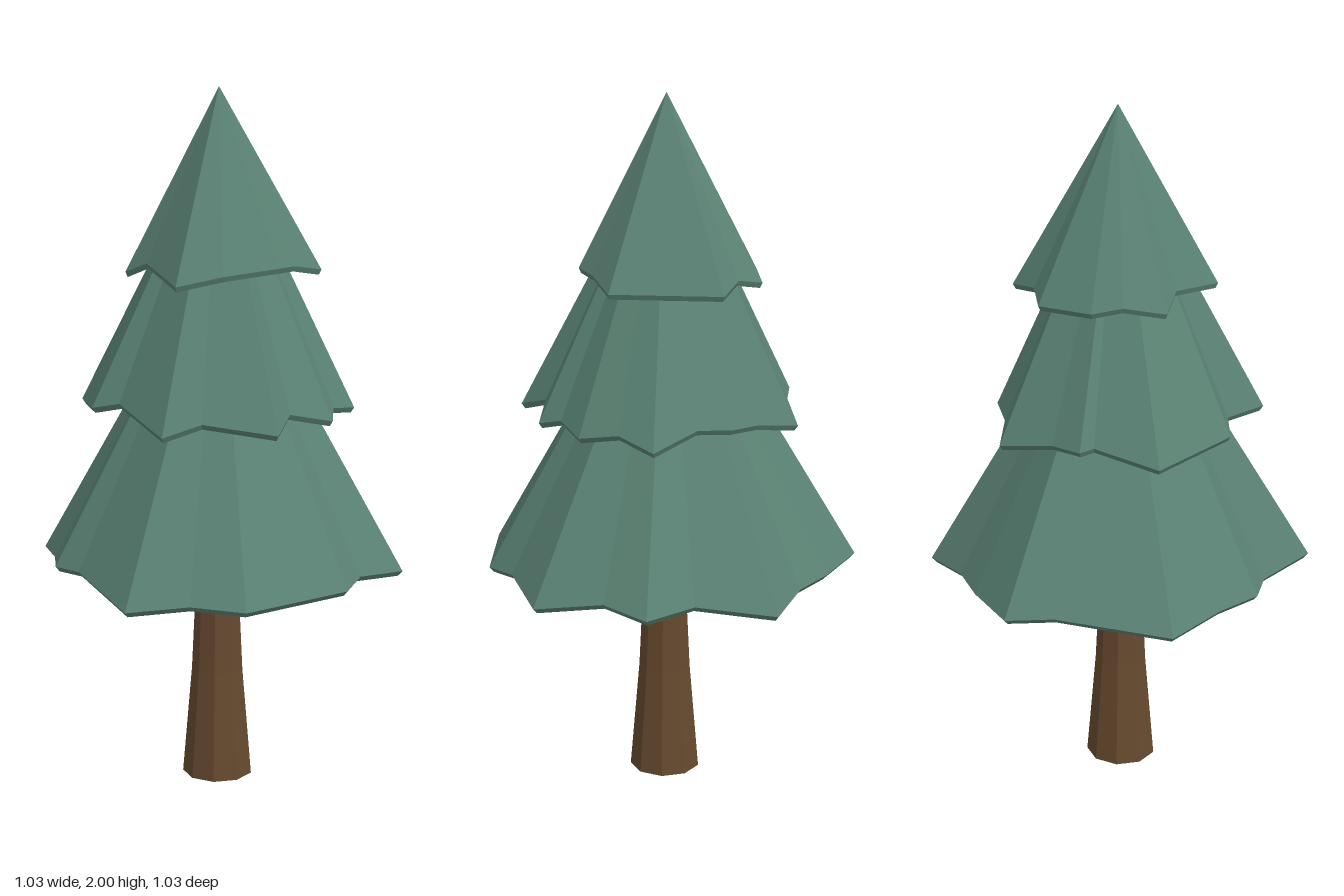
import * as THREE from 'three';

const needles = new THREE.MeshStandardMaterial({ color: 0x5a8274 });
needles.name = 'needleGreen';
const bark = new THREE.MeshStandardMaterial({ color: 0x66492f });
bark.name = 'barkBrown';

// Uneven pleated skirts: rim points are [x, z, y], clockwise seen from above
const tiers = [
  {
    name: 'lowerBranches', apex: 1.58,
    rim: [
      [-0.18, -0.52, 0.65], [0.04, -0.465, 0.68], [0.18, -0.485, 0.66], [0.275, -0.385, 0.68],
      [0.45, -0.295, 0.65], [0.47, -0.1, 0.68], [0.515, 0, 0.67], [0.43, 0.3, 0.655],
      [0.3, 0.385, 0.66], [0.185, 0.515, 0.645], [-0.085, 0.45, 0.685], [-0.18, 0.455, 0.68],
      [-0.28, 0.375, 0.67], [-0.435, 0.285, 0.65], [-0.48, -0.04, 0.68], [-0.52, -0.17, 0.675],
      [-0.39, -0.305, 0.67], [-0.285, -0.39, 0.67],
    ],
  },
  {
    name: 'middleBranches', apex: 1.9,
    rim: [
      [0, -0.345, 1.14], [0.135, -0.39, 1.1], [0.21, -0.305, 1.13], [0.305, -0.24, 1.11],
      [0.33, -0.13, 1.13], [0.38, -0.075, 1.11], [0.335, 0.045, 1.14], [0.385, 0.14, 1.105],
      [0.225, 0.27, 1.13], [0.175, 0.37, 1.1], [-0.05, 0.325, 1.15], [-0.13, 0.355, 1.13],
      [-0.34, 0.215, 1.1], [-0.34, 0.03, 1.14], [-0.37, 0, 1.135], [-0.335, -0.09, 1.13],
      [-0.315, -0.25, 1.1], [-0.19, -0.28, 1.12], [-0.1, -0.335, 1.13],
    ],
  },
  {
    name: 'topBranches', apex: 2,
    rim: [
      [-0.09, -0.285, 1.49], [0.21, -0.2, 1.495], [0.225, -0.08, 1.52], [0.245, 0, 1.525],
      [0.175, 0.145, 1.51], [0.1, 0.25, 1.485], [-0.09, 0.185, 1.52], [-0.18, 0.185, 1.485],
      [-0.235, 0.08, 1.51], [-0.265, 0, 1.495], [-0.235, -0.16, 1.49], [-0.155, -0.2, 1.51],
    ],
  },
];

// Outer skirt, thin hem, underside lip and hollow inner cone
function skirt({ rim, apex }) {
  const ring = (scale, lift) => rim.map(([x, z, y]) => [x * scale, y + lift, z * scale]);
  const tip = y => rim.map(() => [-0.003, y, -0.008]);
  const rings = [tip(apex), ring(1, 0), ring(0.975, -0.015), ring(0.8, 0.015), tip(apex - 0.25)];
  const positions = [];
  for (let r = 0; r < rings.length - 1; r++) {
    for (let i = 0; i < rim.length; i++) {
      const j = (i + 1) % rim.length;
      const a = rings[r][i], b = rings[r][j], c = rings[r + 1][i], d = rings[r + 1][j];
      if (r > 0) positions.push(...a, ...b, ...c);
      if (r < rings.length - 2) positions.push(...b, ...d, ...c);
    }
  }
  const geometry = new THREE.BufferGeometry();
  geometry.setAttribute('position', new THREE.Float32BufferAttribute(positions, 3));
  geometry.computeVertexNormals(); // unshared corners give flat facets
  return geometry;
}

export function createModel() {
  const tree = new THREE.Group();
  tree.name = 'pineTree';

  // Tapered nine-sided trunk, flaring at the foot
  const profile = [[0, 0], [0.102, 0], [0.075, 0.32], [0.059, 0.66], [0.045, 1.1], [0, 1.1]]
    .map(([r, y]) => new THREE.Vector2(r, y));
  const trunkGeometry = new THREE.LatheGeometry(profile, 9).toNonIndexed();
  trunkGeometry.computeVertexNormals();
  const trunk = new THREE.Mesh(trunkGeometry, bark);
  trunk.name = 'trunk';
  tree.add(trunk);

  for (const tier of tiers) {
    const mesh = new THREE.Mesh(skirt(tier), needles);
    mesh.name = tier.name;
    tree.add(mesh);
  }
  return tree;
}
